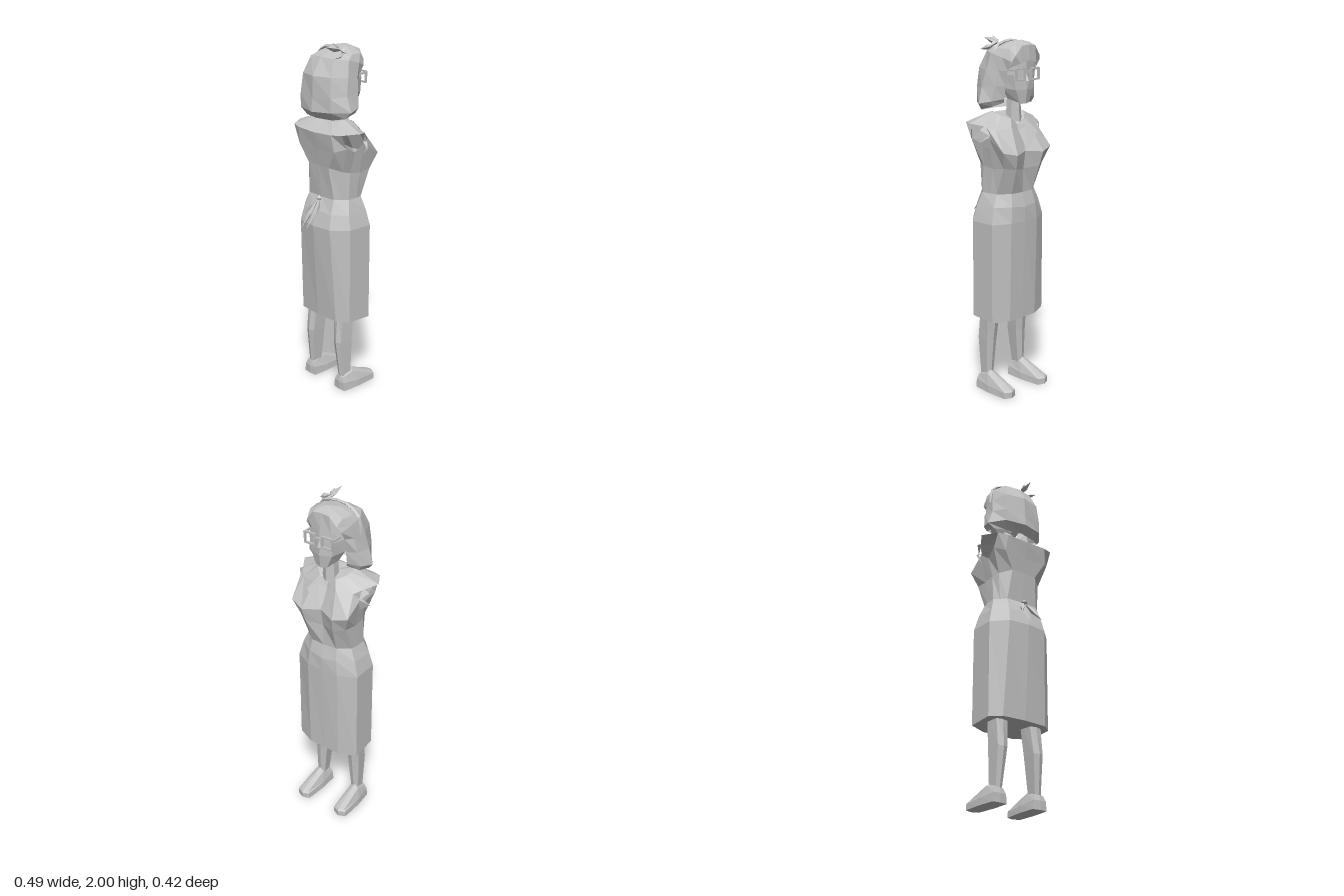
import * as THREE from 'three';

const clay = new THREE.MeshStandardMaterial({ color: 0xc2c2c2, flatShading: true, side: THREE.DoubleSide });
clay.name = 'light grey';

function mesh(name, geo) {
  const m = new THREE.Mesh(geo, clay);
  m.name = name;
  return m;
}

function fromTriangles(name, tris) {
  const g = new THREE.BufferGeometry();
  g.setAttribute('position', new THREE.Float32BufferAttribute(tris.flat(2), 3));
  g.computeVertexNormals();
  return mesh(name, g);
}

// Skin over half rings [x, y, z] that are mirrored across x = 0, lowest ring first.
// A ring is closed when it starts on the centre line; skip lists openings as 'ring,segment'.
function loft(name, halves, { bottom, top, skip = [] } = {}) {
  const rings = halves.map(h => {
    const other = h.filter(p => p[0] !== 0).map(([x, y, z]) => [-x, y, z]).reverse();
    return [...h, ...other];
  });
  const n = rings[0].length, closed = halves[0][0][0] === 0, tris = [];
  for (let r = 0; r < rings.length - 1; r++) {
    for (let j = 0; j < (closed ? n : n - 1); j++) {
      const mirrored = n - 1 - j;
      if (skip.includes(r + ',' + j) || skip.includes(r + ',' + mirrored)) continue;
      const k = (j + 1) % n, lo = rings[r], hi = rings[r + 1];
      tris.push([lo[j], hi[j], hi[k]], [lo[j], hi[k], lo[k]]);
    }
  }
  for (let j = 0; j < n; j++) {
    const k = (j + 1) % n;
    if (bottom) tris.push([bottom, rings[0][j], rings[0][k]]);
    if (top) tris.push([top, rings.at(-1)[k], rings.at(-1)[j]]);
  }
  return fromTriangles(name, tris);
}

// Pointed four-sided ribbon piece between two points
function spindle(name, a, b, width, depth = width) {
  const A = new THREE.Vector3(...a), B = new THREE.Vector3(...b);
  const m = mesh(name, new THREE.OctahedronGeometry(1));
  m.scale.set(width, A.distanceTo(B) / 2, depth);
  m.position.copy(A).add(B).multiplyScalar(0.5);
  m.quaternion.setFromUnitVectors(new THREE.Vector3(0, 1, 0), B.sub(A).normalize());
  return m;
}

function box(name, w, h, d, x, y, z) {
  const m = mesh(name, new THREE.BoxGeometry(w, h, d));
  m.position.set(x, y, z);
  return m;
}

function makeDress() {
  const g = new THREE.Group();
  g.name = 'dress';
  g.add(loft('skirt', [
    [[0, .435, -.15], [.1, .435, -.15], [.2, .44, -.11], [.2, .45, .04], [.14, .45, .09], [0, .45, .1]],
    [[0, 1, -.165], [.1, 1, -.16], [.2, 1, -.11], [.2, 1, .04], [.12, 1, .12], [0, 1, .135]],
    [[0, 1.08, -.165], [.09, 1.09, -.155], [.175, 1.09, -.1], [.18, 1.08, .03], [.11, 1.08, .1], [0, 1.09, .11]],
    [[0, 1.16, -.145], [.08, 1.16, -.14], [.145, 1.16, -.09], [.155, 1.16, .01], [.1, 1.16, .07], [0, 1.16, .075]],
  ], { bottom: [0, .45, -.03] }));
  g.add(loft('bodice', [
    [[0, 1.16, -.145], [.08, 1.16, -.14], [.145, 1.16, -.09], [.153, 1.16, -.05],
      [.155, 1.16, .01], [.13, 1.16, .04], [.1, 1.16, .07], [0, 1.16, .075]],
    [[0, 1.29, -.15], [.09, 1.3, -.185], [.15, 1.31, -.15], [.155, 1.3, -.07],
      [.155, 1.31, 0], [.14, 1.32, .04], [.08, 1.34, .09], [0, 1.34, .09]],
    [[0, 1.39, -.165], [.1, 1.38, -.205], [.182, 1.4, -.18], [.185, 1.47, -.07],
      [.175, 1.43, -.015], [.19, 1.46, .06], [.14, 1.44, .105], [0, 1.43, .105]],
    [[0, 1.5, -.11], [.07, 1.52, -.13], [.16, 1.51, -.1], [.195, 1.53, -.065],
      [.243, 1.545, .012], [.19, 1.54, .1], [.13, 1.535, .12], [0, 1.53, .125]],
    [[0, 1.53, -.1], [.05, 1.56, -.105], [.09, 1.58, -.07], [.1, 1.59, -.04],
      [.1, 1.6, 0], [.09, 1.59, .03], [.06, 1.585, .045], [0, 1.59, .03]],
  ], { skip: ['2,3', '2,4'], top: [0, 1.58, -.04] }));
  // Lapels and sleeve ruffles
  for (const s of [1, -1]) {
    const side = s > 0 ? 'left' : 'right';
    const flip = tris => tris.map(t => t.map(([x, y, z]) => [s * x, y, z]));
    g.add(fromTriangles(side + 'Lapel', flip([
      [[.005, 1.4, -.178], [.045, 1.56, -.122], [.09, 1.49, -.168]],
    ])));
    const inner = [[.18, 1.41, -.07], [.19, 1.48, -.09], [.19, 1.54, -.06]];
    const tips = [[.235, 1.445, -.05], [.228, 1.515, -.05]];
    g.add(fromTriangles(side + 'Ruffle', flip(tips.flatMap((t, i) => [
      [inner[i], inner[i + 1], t],
      [inner[i + 1], [.185, inner[i + 1][1], -.065], t],
    ]))));
  }
  // Bow tied at the back of the waist
  g.add(
    spindle('bowKnot', [-.02, 1.155, .09], [.025, 1.155, .09], .018),
    spindle('bowTail', [-.005, 1.16, .08], [-.033, .985, .195], .02, .012),
    spindle('bowTail', [.005, 1.16, .08], [.033, 1.005, .212], .014, .014),
    spindle('bowLoop', [0, 1.16, .08], [-.055, 1.06, .15], .015),
    spindle('bowLoop', [0, 1.16, .08], [.04, 1.07, .15], .013),
  );
  return g;
}

function makeHead() {
  const g = new THREE.Group();
  g.name = 'head';
  const neck = mesh('neck', new THREE.CylinderGeometry(.036, .045, .15, 6));
  neck.position.set(0, 1.62, -.075);
  g.add(neck);
  g.add(loft('face', [
    [[0, 1.645, -.165], [.035, 1.65, -.155], [.06, 1.67, -.09], [0, 1.67, -.03]],
    [[0, 1.72, -.175], [.065, 1.72, -.155], [.095, 1.73, -.08], [0, 1.72, 0]],
    [[0, 1.8, -.172], [.078, 1.8, -.15], [.1, 1.8, -.08], [0, 1.8, 0]],
    [[0, 1.93, -.165], [.06, 1.92, -.15], [.09, 1.9, -.08], [0, 1.9, 0]],
  ], { bottom: [0, 1.65, -.11], top: [0, 1.94, -.08] }));
  g.add(spindle('nose', [0, 1.805, -.172], [0, 1.725, -.178], .014));
  // Bobbed hair, open at the face
  const hair = new THREE.Group();
  hair.name = 'hair';
  hair.position.x = -.013;
  hair.add(loft('bob', [
    [[.09, 1.65, -.08], [.15, 1.63, -.05], [.155, 1.61, .03], [.1, 1.6, .07], [0, 1.6, .09]],
    [[.1, 1.67, -.09], [.165, 1.66, -.06], [.187, 1.645, .015], [.12, 1.645, .1], [0, 1.64, .13]],
    [[.1, 1.74, -.1], [.15, 1.74, -.07], [.16, 1.73, .02], [.12, 1.72, .1], [0, 1.71, .122]],
    [[.105, 1.82, -.12], [.135, 1.82, -.08], [.147, 1.82, 0], [.11, 1.83, .09], [0, 1.83, .118]],
    [[.108, 1.87, -.15], [.125, 1.89, -.1], [.13, 1.91, -.02], [.09, 1.92, .05], [0, 1.925, .06]],
    [[.09, 1.9, -.165], [.1, 1.935, -.13], [.11, 1.935, -.06], [.07, 1.945, 0], [0, 1.95, 0]],
    [[.05, 1.95, -.172], [.05, 1.965, -.13], [.05, 1.97, -.08], [.03, 1.965, -.04], [0, 1.965, -.03]],
  ], { top: [0, 1.978, -.12] }));
  hair.add(loft('fringe', [
    [[.09, 1.9, -.165], [.05, 1.95, -.172], [0, 1.955, -.172]],
    [[.107, 1.83, -.125], [.06, 1.86, -.172], [0, 1.875, -.18]],
  ]));
  const band = [[-.14, 1.82], [-.13, 1.912], [-.065, 1.962], [.03, 1.968], [.1, 1.942], [.135, 1.82]];
  const path = new THREE.CatmullRomCurve3(band.map(([x, y]) => new THREE.Vector3(x, y, -.03)));
  hair.add(mesh('hairBand', new THREE.TubeGeometry(path, 10, .009, 4)));
  g.add(hair);
  g.add(
    spindle('hairBowLoop', [.06, 1.955, -.04], [.052, 1.985, .095], .018),
    spindle('hairBowLoop', [.09, 1.95, -.025], [.105, 1.925, .075], .014),
    spindle('hairBowKnot', [.045, 1.98, -.01], [.115, 1.945, -.01], .016),
    spindle('hairBowTail', [.06, 1.955, -.01], [.05, 2, .035], .012),
  );
  // Square spectacles
  for (const s of [1, -1]) {
    const x = s * .053;
    for (const dy of [-.029, .029]) g.add(box('glassesRim', .068, .009, .012, x, 1.802 + dy, -.178));
    for (const dx of [-.031, .031]) g.add(box('glassesRim', .009, .058, .012, x + dx, 1.802, -.178));
    g.add(box('glassesArm', .008, .01, .1, s * .09, 1.825, -.13));
  }
  g.add(box('glassesBridge', .04, .008, .01, 0, 1.815, -.179));
  return g;
}

function makeLeg(s) {
  const g = new THREE.Group();
  g.name = s > 0 ? 'leftLeg' : 'rightLeg';
  g.position.x = s * .13;
  const leg = loft('shin', [[.07, .024, -.025, .045], [.3, .038, -.035, .07], [.5, .048, -.055, .045]].map(
    ([y, w, f, b]) => [[0, y, f], [w, y, f * .6], [w * .8, y, b * .8], [0, y, b]]));
  leg.rotation.z = s * .042;
  g.add(leg);
  const foot = loft('shoe', [
    [[0, 0, -.202], [.042, 0, -.185], [.05, 0, -.06], [.045, 0, .05], [0, 0, .055]],
    [[0, .035, -.204], [.04, .035, -.185], [.047, .04, -.05], [.04, .05, .05], [0, .05, .055]],
    [[0, .045, -.195], [.03, .045, -.18], [.028, .1, -.03], [.028, .08, .042], [0, .08, .047]],
  ], { bottom: [0, 0, -.06], top: [0, .118, -.022] });
  foot.rotation.y = -s * .03;
  g.add(foot);
  return g;
}

export function createModel() {
  const model = new THREE.Group();
  model.name = 'womanInDress';
  model.add(makeDress(), makeHead(), makeLeg(1), makeLeg(-1));
  return model;
}
